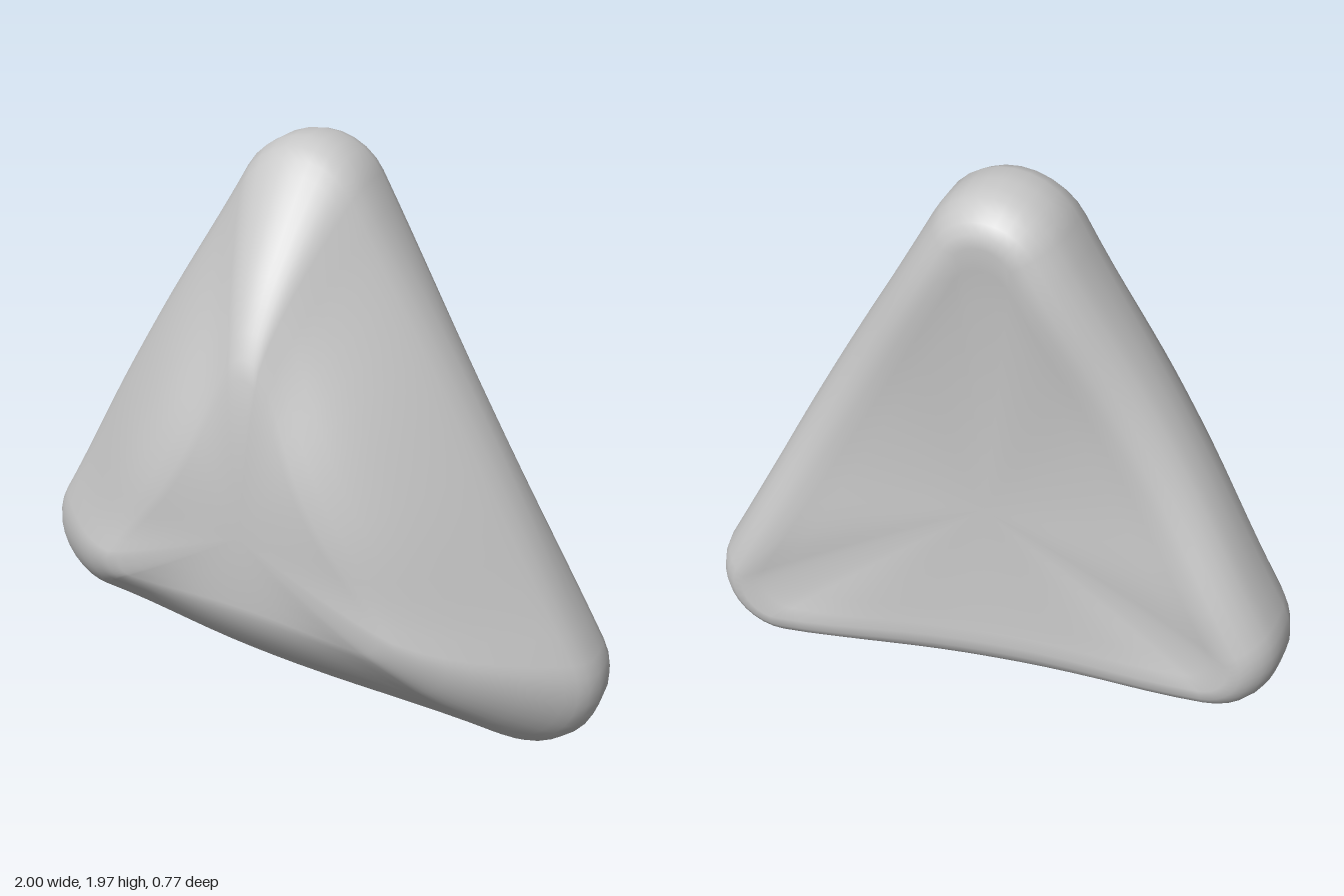
import * as THREE from 'three';
import { mergeVertices } from 'three/addons/utils/BufferGeometryUtils.js';

const lerp = THREE.MathUtils.lerp;
const ARC = 10, EDGE = 16;

// Corner circle centres of the rim and of the front facet: top, -x, +x
const RIM = [[-0.05, 1.74], [-0.765, 0.49], [0.765, 0.24]];
const FACET = [[-0.05, 1.34], [-0.5, 0.61], [0.4, 0.51]];
const RADIUS = 0.235;
const BOW = 0.017;

const mix = (p, q, t) => p.map((c, i) => [lerp(c[0], q[i][0], t), lerp(c[1], q[i][1], t)]);
const middle = (p) => {
  const m = [0, 1].map((k) => (p[0][k] + p[1][k] + p[2][k]) / 3);
  return [m, m, m];
};

// One rounded-triangle loop; zAt(w) gives depth, w = 1 at corners and 0 mid-edge
function ring(centres, radius, bow, zAt) {
  const points = [];
  const normalAngle = (i) => {
    const a = RIM[i % 3], b = RIM[(i + 1) % 3];
    return Math.atan2(a[0] - b[0], b[1] - a[1]);
  };
  for (let i = 0; i < 3; i++) {
    const c = centres[i], d = centres[(i + 1) % 3];
    const end = normalAngle(i);
    let start = normalAngle(i + 2);
    while (start > end) start -= Math.PI * 2;
    while (end - start > Math.PI * 2) start += Math.PI * 2;
    for (let j = 0; j <= ARC; j++) {
      const a = lerp(start, end, j / ARC);
      points.push([c[0] + radius * Math.cos(a), c[1] + radius * Math.sin(a), zAt(1)]);
    }
    // Bowed side to the next corner
    for (let j = 1; j < EDGE; j++) {
      const t = j / EDGE, w = Math.pow(Math.abs(Math.cos(Math.PI * t)), 2.4);
      const r = radius + bow * (1 - w);
      points.push([
        lerp(c[0], d[0], t) + r * Math.cos(end),
        lerp(c[1], d[1], t) + r * Math.sin(end),
        zAt(w),
      ]);
    }
  }
  return points;
}

function stoneGeometry() {
  const rings = [];
  // Slightly domed front facet, centre outwards
  for (const s of [0, 0.3, 0.55, 0.75, 0.9]) {
    rings.push(ring(mix(middle(FACET), FACET, s), 0.06 * s, -0.04 * s,
      (w) => 0.385 - s * s * lerp(0.012, 0.05 * s, w)));
  }
  // Three sloping front faces meeting in soft ridges
  const slope = [[1, 0.333], [0.85, 0.297], [0.7, 0.252], [0.57, 0.205], [0.45, 0.152],
    [0.33, 0.095], [0.22, 0.037], [0.14, -0.008], [0.08, -0.045], [0.035, -0.08], [0, -0.135]];
  for (const [a, z] of slope) {
    const r = 0.06 + (RADIUS - 0.06) * Math.pow(1 - a, 1.3);
    const lift = 0.16 * a * (1 - a) + 0.04 * a;
    rings.push(ring(mix(RIM, FACET, a), r, lerp(BOW, -0.04, a), (w) => z + lift * (1 - w)));
  }
  // Rounded rear rim, shallower along the sides than at the corners
  const rear = [[0, -0.2], [0.003, -0.25], [0.014, -0.29], [0.033, -0.327], [0.06, -0.357],
    [0.09, -0.375], [0.13, -0.383]];
  for (const [inset, z] of rear) {
    const k = (z + 0.135) / -0.248;
    rings.push(ring(RIM, RADIUS - inset, BOW * (1 - k), (w) => z + 0.052 * k * (1 - w)));
  }
  // Gently hollow back
  for (const s of [0.92, 0.8, 0.6, 0.35, 0]) {
    rings.push(ring(mix(middle(RIM), RIM, s), 0.105 * s, 0,
      (w) => lerp(-0.312, lerp(-0.329, -0.38, w), s * s)));
  }

  const n = rings[0].length, index = [];
  for (let k = 0; k < rings.length - 1; k++) {
    for (let j = 0; j < n; j++) {
      const a = k * n + j, b = k * n + (j + 1) % n;
      if (k < rings.length - 2) index.push(a, a + n, b + n);
      else index.push(a, a + n, b);
      if (k > 0 && k < rings.length - 2) index.push(a, b + n, b);
    }
  }
  const geometry = new THREE.BufferGeometry();
  geometry.setAttribute('position', new THREE.Float32BufferAttribute(rings.flat(2), 3));
  geometry.setIndex(index);
  const merged = mergeVertices(geometry, 1e-5);
  merged.computeVertexNormals();
  return merged;
}

export function createModel() {
  const group = new THREE.Group();
  group.name = 'triangularStone';
  const grey = new THREE.MeshStandardMaterial({ color: 0xc8c8c8 });
  grey.name = 'stoneGrey';
  const stone = new THREE.Mesh(stoneGeometry(), grey);
  stone.name = 'stone';
  group.add(stone);
  return group;
}
